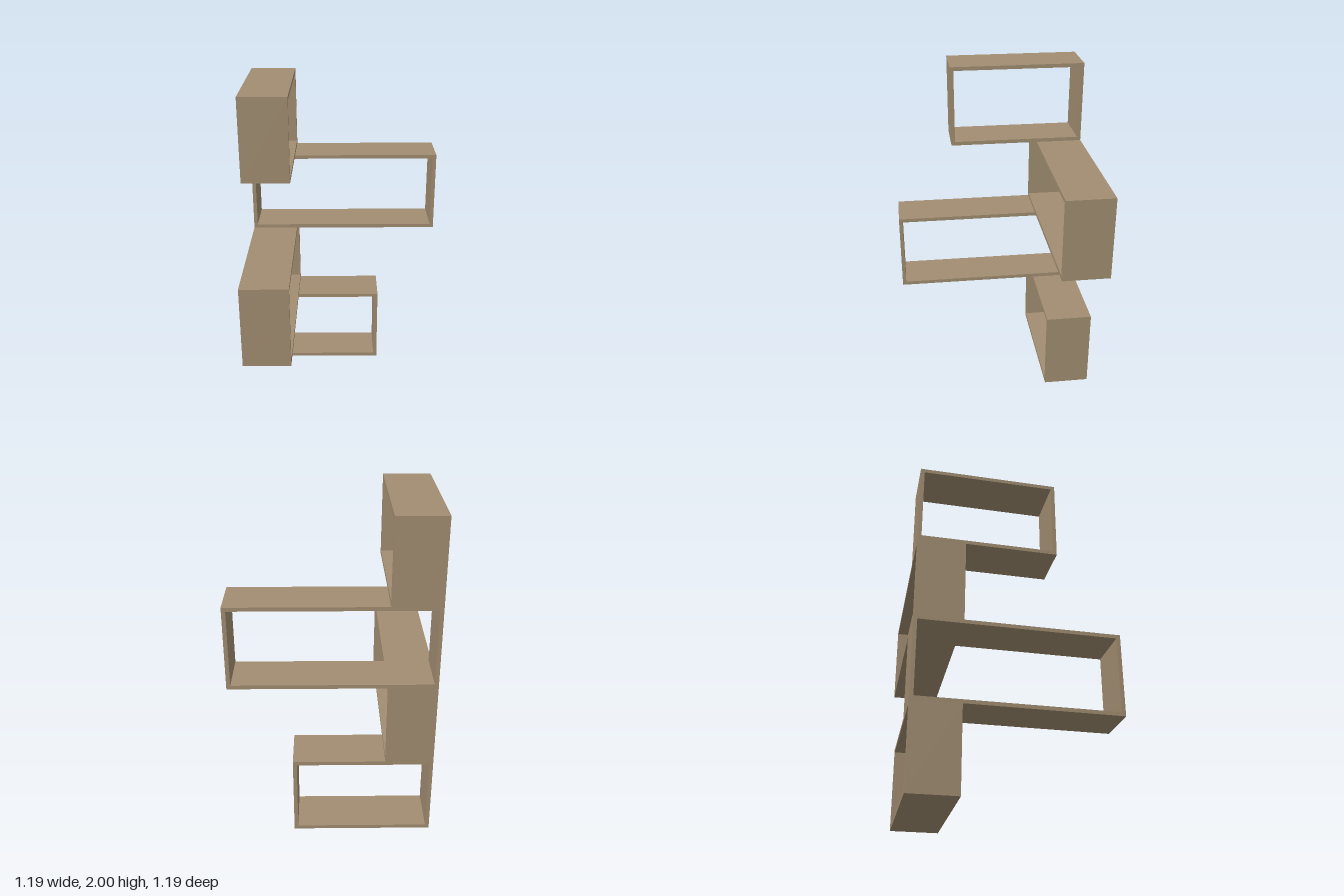
import * as THREE from 'three';

const CORNER = -0.595; // shared back corner in x and z
const DEPTH = 0.284;   // shelf depth
const HEIGHT = 0.5;    // height of each tier
const WALL = 0.023;    // board thickness

// Rectangular open frame, centred, running along x and open along z
function frameGeometry(length) {
  const w = length / 2, h = HEIGHT / 2;
  const rect = (C, a, b) => new C([
    new THREE.Vector2(-a, -b), new THREE.Vector2(a, -b),
    new THREE.Vector2(a, b), new THREE.Vector2(-a, b),
  ]);
  const shape = rect(THREE.Shape, w, h);
  shape.holes.push(rect(THREE.Path, w - WALL, h - WALL));
  const geometry = new THREE.ExtrudeGeometry(shape, { depth: DEPTH, bevelEnabled: false });
  return geometry.translate(0, 0, -DEPTH / 2);
}

export function createModel() {
  const group = new THREE.Group();
  group.name = 'cornerShelf';
  const wood = new THREE.MeshStandardMaterial({ color: 0xa18d71 });
  wood.name = 'wood';

  // Tiers from bottom to top, alternating between the two walls
  const tiers = [
    { name: 'bottomShelfFrame', length: 0.83, alongZ: false },
    { name: 'lowerMiddleShelfFrame', length: 1.19, alongZ: true },
    { name: 'upperMiddleShelfFrame', length: 1.19, alongZ: false },
    { name: 'topShelfFrame', length: 0.83, alongZ: true },
  ];
  tiers.forEach(({ name, length, alongZ }, i) => {
    const geometry = frameGeometry(length);
    if (alongZ) geometry.rotateY(-Math.PI / 2);
    const mesh = new THREE.Mesh(geometry, wood);
    mesh.name = name;
    const along = CORNER + length / 2, across = CORNER + DEPTH / 2;
    mesh.position.set(alongZ ? across : along, (i + 0.5) * HEIGHT, alongZ ? along : across);
    group.add(mesh);
  });
  return group;
}
